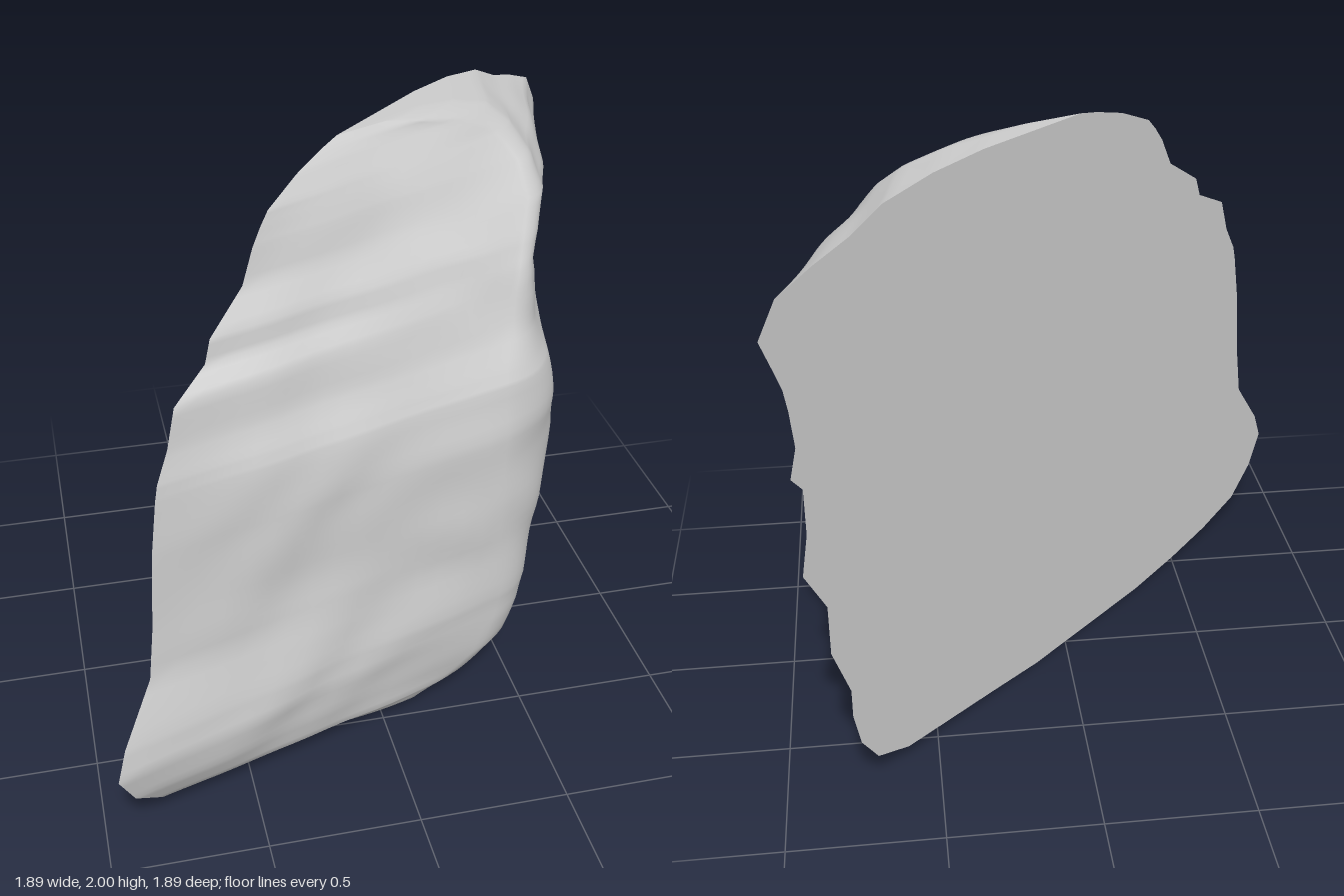
import * as THREE from 'three';

// Cross-sections from bottom to top:
// height, left end, right end, front corner, side corner, depth at the corners
const SECTIONS = [
  [0.0, -0.32, 0.12, -0.2, 0.04, 0.16], [0.02, -0.5, 0.3, -0.2, 0.08, 0.24],
  [0.05, -0.66, 0.6, -0.18, 0.12, 0.29], [0.1, -0.81, 0.7, -0.13, 0.13, 0.34],
  [0.2, -0.9, 0.75, -0.06, 0.13, 0.385], [0.32, -0.95, 0.77, -0.03, 0.14, 0.41],
  [0.42, -0.92, 0.77, -0.02, 0.16, 0.42], [0.6, -0.82, 0.82, 0.0, 0.19, 0.42],
  [0.77, -0.8, 0.82, 0.0, 0.23, 0.42], [0.92, -0.79, 0.88, 0.01, 0.25, 0.42],
  [1.05, -0.78, 0.86, 0.02, 0.25, 0.42], [1.2, -0.76, 0.86, 0.04, 0.25, 0.405],
  [1.25, -0.75, 0.89, 0.06, 0.25, 0.39], [1.34, -0.71, 0.87, 0.11, 0.25, 0.365],
  [1.46, -0.68, 0.88, 0.15, 0.26, 0.34], [1.53, -0.57, 0.89, 0.18, 0.28, 0.33],
  [1.6, -0.55, 0.91, 0.22, 0.33, 0.32], [1.7, -0.43, 0.94, 0.29, 0.4, 0.295],
  [1.8, -0.39, 0.89, 0.33, 0.42, 0.245], [1.85, -0.36, 0.79, 0.33, 0.42, 0.21],
  [1.89, -0.33, 0.69, 0.32, 0.42, 0.18], [1.95, -0.22, 0.59, 0.25, 0.39, 0.13],
  [1.985, -0.12, 0.44, 0.14, 0.3, 0.09], [2.0, -0.06, 0.28, 0.08, 0.18, 0.05],
];
const STEPS = 4, SIDE = 16, MIDDLE = 8;

// Place a point by its distance along the diagonal cut and its depth in front of it
const place = (t, y, w) => [t + w, y, w - t];

// Sections refined by linear interpolation
function refine() {
  const rows = [];
  SECTIONS.forEach((a, i) => {
    const b = SECTIONS[i + 1];
    if (!b) return rows.push(a);
    for (let k = 0; k < STEPS; k++) rows.push(a.map((v, j) => v + (b[j] - v) * k / STEPS));
  });
  return rows;
}

// Shallow, irregular chips and hollows
function bumps(t, y) {
  return 0.006 * Math.sin(8 * t + 2 * Math.sin(5 * y)) * Math.sin(7 * y + 1.5 * Math.sin(6 * t))
    + 0.005 * Math.sin(15 * t + 2 + Math.sin(9 * y)) * Math.sin(14 * y + 2 * Math.sin(7 * t));
}

// Points [t, w] of one section: sloping front, gently bowed corner, sloping side
function profile([, left, right, front, side, depth]) {
  const { lerp } = THREE.MathUtils;
  const points = [];
  for (let i = 0; i < SIDE; i++) points.push([lerp(left, front, i / SIDE), depth * i / SIDE]);
  for (let i = 0; i < MIDDLE; i++) {
    const s = i / MIDDLE;
    points.push([lerp(front, side, s), depth * (1 + 0.24 * s * (1 - s))]);
  }
  for (let i = 0; i <= SIDE; i++) points.push([lerp(side, right, i / SIDE), depth * (1 - i / SIDE)]);
  return points;
}

function gridIndices(rows, cols, flip) {
  const index = [];
  for (let r = 0; r < rows - 1; r++) for (let c = 0; c < cols - 1; c++) {
    const a = r * cols + c, b = a + 1, d = a + cols, e = d + 1;
    if (flip) index.push(a, e, b, a, d, e);
    else index.push(a, b, e, a, e, d);
  }
  return index;
}

function makeMesh(name, positions, index, material) {
  const geometry = new THREE.BufferGeometry();
  geometry.setAttribute('position', new THREE.Float32BufferAttribute(positions, 3));
  geometry.setIndex(index);
  geometry.computeVertexNormals();
  const mesh = new THREE.Mesh(geometry, material);
  mesh.name = name;
  return mesh;
}

export function createModel() {
  const group = new THREE.Group();
  group.name = 'rock';
  const material = new THREE.MeshStandardMaterial({ color: 0xcccccc });
  const rows = refine();
  const cols = SIDE * 2 + MIDDLE + 1;

  // Weathered face
  const face = rows.flatMap((row) => profile(row).flatMap(([t, w]) =>
    place(t, row[0], w + bumps(t, row[0]) * Math.min(1, w / 0.12))));
  const faceIndex = gridIndices(rows.length, cols, false);
  // Close the underside and the crown
  const last = (rows.length - 1) * cols;
  for (let c = 1; c < cols - 1; c++) {
    faceIndex.push(0, c + 1, c);
    faceIndex.push(last, last + c, last + c + 1);
  }
  group.add(makeMesh('weatheredFace', face, faceIndex, material));

  // Flat diagonal cut at the back
  const cut = rows.flatMap(([y, left, right]) => [...place(left, y, 0), ...place(right, y, 0)]);
  group.add(makeMesh('flatBack', cut, gridIndices(rows.length, 2, true), material));
  return group;
}
